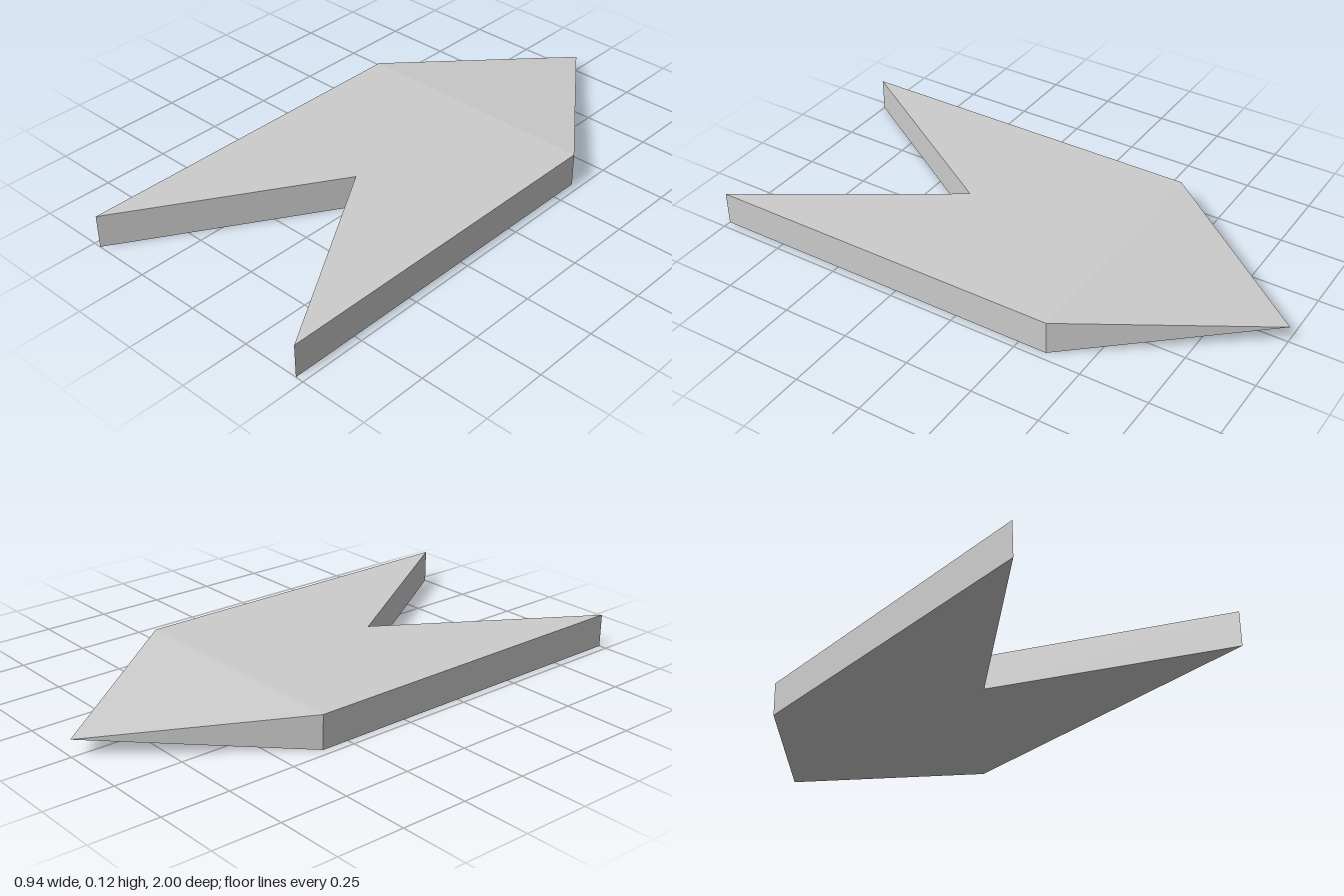
import * as THREE from 'three';

export function createModel() {
  const group = new THREE.Group();
  group.name = 'arrowhead';
  const grey = new THREE.MeshStandardMaterial({ color: 0xcccccc });
  grey.name = 'light grey';

  const height = 0.125;
  // Outline of the plate as x, z: shoulder, tail, notch, tail, shoulder
  const outline = [[-0.47, -0.355], [-0.47, 1], [0, 0.256], [0.47, 1], [0.47, -0.355]];
  const top = outline.map(([x, z]) => [x, height, z]);
  const bottom = outline.map(([x, z]) => [x, 0, z]);
  const point = [0, height / 2, -1];

  // Unshared corners give each face its own flat normal
  function addPart(name, triangles) {
    const geometry = new THREE.BufferGeometry();
    geometry.setAttribute('position', new THREE.Float32BufferAttribute(triangles.flat(2), 3));
    geometry.computeVertexNormals();
    const mesh = new THREE.Mesh(geometry, grey);
    mesh.name = name;
    group.add(mesh);
  }

  // Notched plate: top, bottom and side walls, open where the tip joins
  const body = [];
  for (const [a, b, c] of [[0, 1, 2], [0, 2, 4], [2, 3, 4]]) {
    body.push([top[a], top[b], top[c]], [bottom[c], bottom[b], bottom[a]]);
  }
  for (let i = 0; i < 4; i++) {
    body.push([bottom[i], bottom[i + 1], top[i + 1]], [bottom[i], top[i + 1], top[i]]);
  }
  addPart('notchedBody', body);

  // Tip: four faces tapering to a single point at mid height
  addPart('taperedTip', [
    [top[0], top[4], point],
    [bottom[4], bottom[0], point],
    [point, bottom[0], top[0]],
    [bottom[4], point, top[4]],
  ]);

  return group;
}
